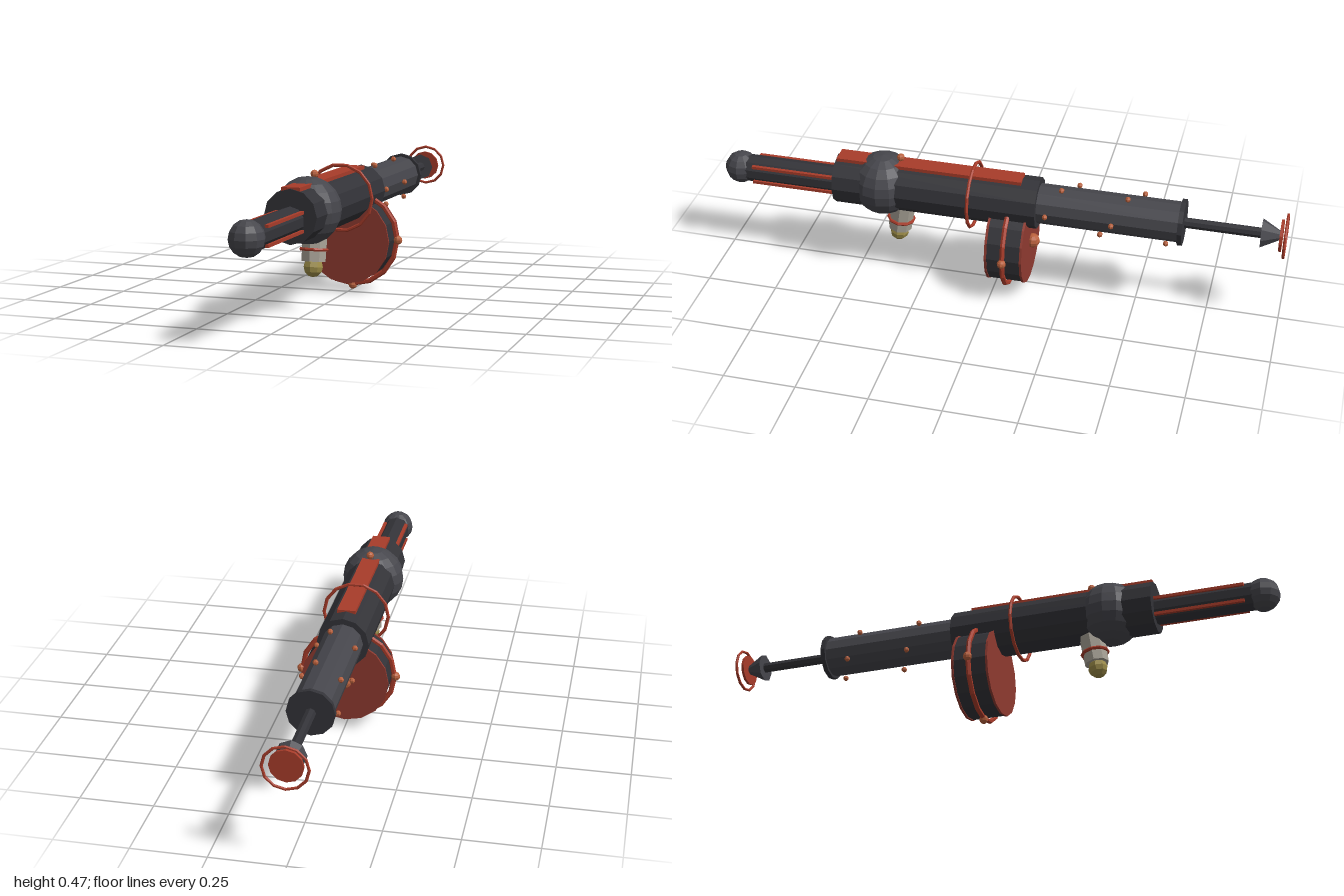
import * as THREE from 'three';

const mat = (color) => new THREE.MeshStandardMaterial({ color, flatShading: true });
const DARK = mat(0x333338), STEEL = mat(0x46464c), RED = mat(0xa83c2a), FACE = mat(0x8f3a30);
const COPPER = mat(0xb8603c), GREY = mat(0xa8a296), GOLD = mat(0x9c8c48);
const AXIS_Y = 0.346;

export function createModel() {
  const model = new THREE.Group();
  model.name = 'weapon';

  const add = (name, geo, material, x = 0, y = 0, z = 0, parent = model) => {
    const mesh = new THREE.Mesh(geo, material);
    mesh.name = name;
    mesh.position.set(x, y, z);
    parent.add(mesh);
    return mesh;
  };
  // Cylinder along z: rFront at zFront, rBack at zBack
  const tube = (name, material, rFront, rBack, zFront, zBack, y = AXIS_Y, sides = 12) =>
    add(name, new THREE.CylinderGeometry(rFront, rBack, zFront - zBack, sides).rotateX(Math.PI / 2),
      material, 0, y, (zFront + zBack) / 2);
  const ball = (name, material, r, x, y, z, w = 8, h = 6, parent = model) =>
    add(name, new THREE.SphereGeometry(r, w, h), material, x, y, z, parent);
  const ring = (name, material, r, t, y, z, segs) =>
    add(name, new THREE.TorusGeometry(r, t, 6, segs), material, 0, y, z);

  // Muzzle: thin barrel with four side strips and a round tip
  const barrelY = 0.332;
  tube('barrel', DARK, 0.048, 0.048, 0.94, 0.55, barrelY, 10);
  ball('muzzleTip', STEEL, 0.058, 0, barrelY, 0.942, 10, 8);
  for (const sx of [-1, 1]) for (const sy of [-1, 1])
    add('barrelStrip', new THREE.BoxGeometry(0.012, 0.01, 0.31), RED, sx * 0.041, barrelY + sy * 0.03, 0.73);

  // Main body with bulge, top rail and loose hoop
  tube('body', DARK, 0.09, 0.09, 0.575, -0.15);
  ball('bulge', STEEL, 0.112, 0, AXIS_Y, 0.41, 14, 10);
  add('topRail', new THREE.BoxGeometry(0.064, 0.024, 0.66), RED, 0, 0.428, 0.24);
  ball('topBolt', COPPER, 0.014, 0, 0.458, 0.345);
  ring('bodyHoop', RED, 0.115, 0.006, AXIS_Y, 0.082, 14);

  // Rear tube with a spiral of rivets and an end flange
  tube('rearTube', STEEL, 0.07, 0.07, -0.14, -0.645);
  tube('rearFlange', DARK, 0.08, 0.08, -0.637, -0.653);
  for (let i = 0; i < 10; i++) {
    const a = i * Math.PI * 0.4;
    ball('rivet', COPPER, 0.01, 0.083 * Math.cos(a), AXIS_Y + 0.083 * Math.sin(a), -0.185 - i * 0.0457, 6, 5);
  }

  // Pull rod, cone, plate and end hoop
  tube('rod', DARK, 0.018, 0.018, -0.65, -0.93, AXIS_Y, 8);
  tube('rodCone', STEEL, 0.05, 0.016, -0.913, -0.976, AXIS_Y, 8);
  tube('endPlate', RED, 0.055, 0.055, -0.975, -0.984, AXIS_Y, 12);
  ring('endHoop', RED, 0.073, 0.005, AXIS_Y, -0.994, 12);

  // Drum magazine
  const drumY = 0.186, drumZ = -0.054;
  tube('drum', DARK, 0.15, 0.15, 0.006, -0.114, drumY, 16);
  tube('drumFrontPlate', FACE, 0.153, 0.153, 0.012, 0.004, drumY, 16);
  tube('drumBackPlate', FACE, 0.153, 0.153, -0.112, -0.12, drumY, 16);
  ring('drumHoop', RED, 0.163, 0.009, drumY, drumZ, 16);
  ball('drumHub', COPPER, 0.026, 0, drumY, -0.127);
  for (let i = 0; i < 4; i++) {
    const a = i * Math.PI / 2;
    ball('drumBolt', COPPER, 0.016, 0.167 * Math.cos(a), drumY + 0.167 * Math.sin(a), drumZ);
  }

  // Lamp hanging under the bulge, tilted slightly forward
  const lamp = new THREE.Group();
  lamp.name = 'lamp';
  lamp.position.set(0, 0.15, 0.36);
  lamp.rotation.x = -0.15;
  model.add(lamp);
  ball('lampBulb', GOLD, 0.034, 0, 0, 0, 8, 6, lamp);
  add('lampHousing', new THREE.CylinderGeometry(0.045, 0.042, 0.11, 8), GREY, 0, 0.073, 0, lamp);
  add('lampBand', new THREE.TorusGeometry(0.045, 0.006, 6, 10).rotateX(Math.PI / 2), RED, 0, 0.058, 0, lamp);

  return model;
}
